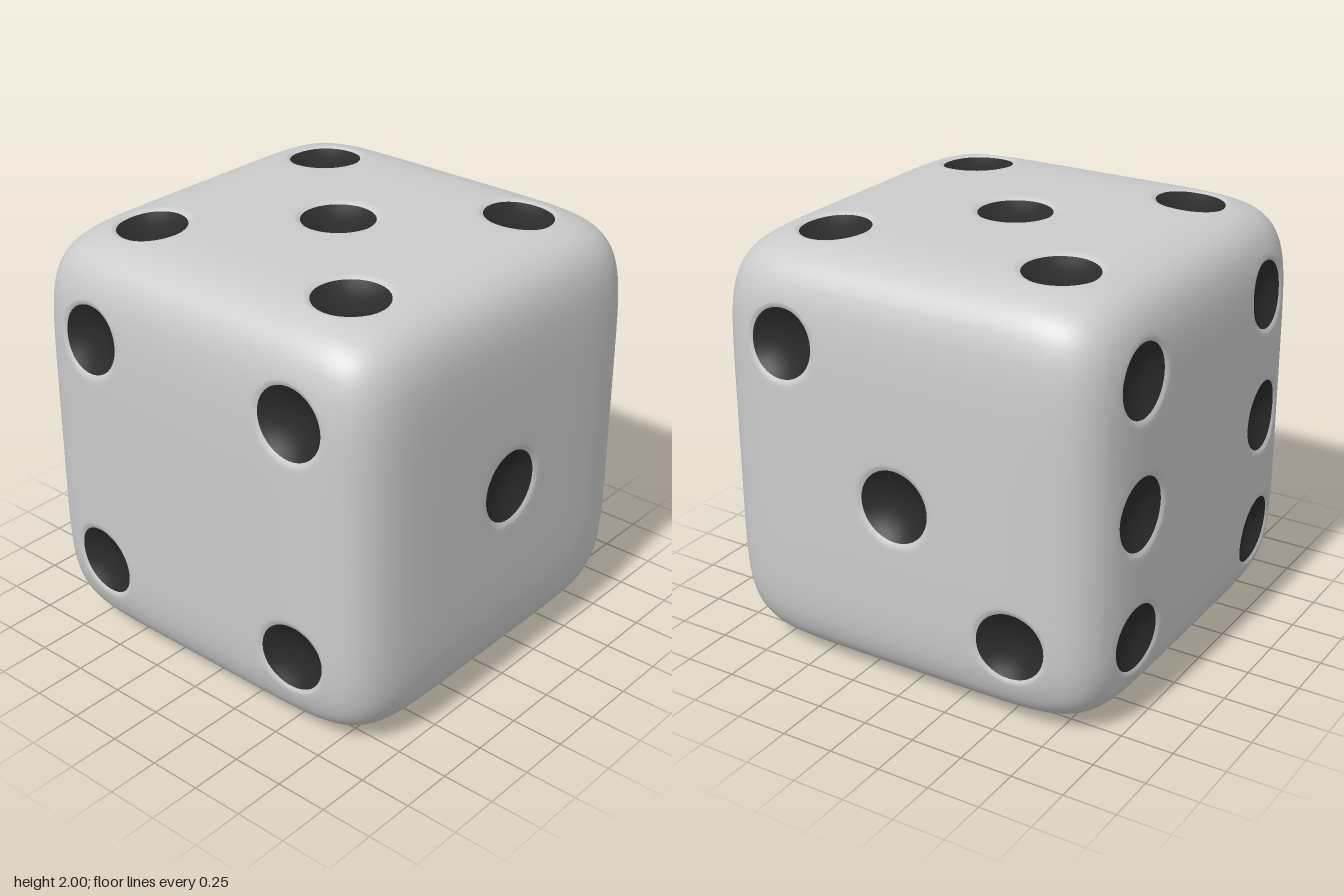
import * as THREE from 'three';
import { mergeVertices } from 'three/addons/utils/BufferGeometryUtils.js';

const POWER = 7;      // squareness of the rounded cube
const SLOT = 0.58;    // pip spacing on a face
const R = 0.17;       // pip radius
const LIP = 0.2;      // outer radius of the soft lip
const REACH = 0.29;   // half size of the grid block around a pip
const DEPTH = 0.07;

// Each face: axes u, v (normal = u x v) and its pip centres
const FACES = [
  { name: 'front', u: [1, 0, 0], v: [0, 1, 0], pips: [[0, 0]] },
  { name: 'back', u: [-1, 0, 0], v: [0, 1, 0],
    pips: [[-0.6, 0.61], [-0.6, 0], [-0.6, -0.61], [0.6, 0.61], [0.6, 0], [0.6, -0.61]] },
  { name: 'right', u: [0, 0, -1], v: [0, 1, 0],
    pips: [[-0.585, 0.575], [0, -0.06], [0.58, -0.585]] },
  { name: 'left', u: [0, 0, 1], v: [0, 1, 0],
    pips: [[-0.59, 0.575], [0.59, 0.575], [-0.59, -0.58], [0.59, -0.58]] },
  { name: 'top', u: [1, 0, 0], v: [0, 0, -1],
    pips: [[-0.585, 0.59], [0.555, 0.565], [0, 0], [-0.585, -0.575], [0.58, -0.575]] },
  { name: 'bottom', u: [1, 0, 0], v: [0, 0, 1], pips: [[0.58, 0.58], [-0.58, -0.58]] },
];

// Grid lines shared by all faces, dense across the pips and the rounded edges
function gridLines() {
  const lines = [];
  const span = (a, b, n) => {
    for (let i = 0; i < n; i++) lines.push(a + (b - a) * i / n);
  };
  span(-1, -SLOT - REACH, 7);
  for (const c of [-SLOT, 0, SLOT]) {
    span(c - REACH, c - LIP, 3);
    span(c - LIP, c - R, 2);
    span(c - R, c + R, 12);
    span(c + R, c + LIP, 2);
    span(c + LIP, c + REACH, 3);
  }
  span(SLOT + REACH, 1, 7);
  lines.push(1);
  return lines;
}

const slotOf = (c) => Math.round(c / SLOT) * SLOT;
const squareDistance = (pip, a, b) =>
  Math.max(Math.abs(a - slotOf(pip[0])), Math.abs(b - slotOf(pip[1])));

// Place a face grid point: square rings around a pip become circles, then the cube is rounded
function surfacePoint(face, u, v, n, a, b) {
  let sink = 0;
  const pip = face.pips.find((p) => squareDistance(p, a, b) < REACH - 1e-6);
  if (pip) {
    const du = a - slotOf(pip[0]), dv = b - slotOf(pip[1]);
    const m = squareDistance(pip, a, b);
    const blend = THREE.MathUtils.clamp((REACH - m) / (REACH - LIP), 0, 1);
    const scale = 1 + blend * (m / (Math.hypot(du, dv) || 1) - 1);
    a = slotOf(pip[0]) + du * scale + blend * (pip[0] - slotOf(pip[0]));
    b = slotOf(pip[1]) + dv * scale + blend * (pip[1] - slotOf(pip[1]));
    const lipDrop = 0.012;
    if (m <= R) sink = lipDrop + (DEPTH - lipDrop) * (1 - (m / R) ** 2);
    else if (m < LIP) sink = lipDrop * ((LIP - m) / (LIP - R)) ** 2;
  }
  const norm = (Math.abs(a) ** POWER + Math.abs(b) ** POWER + 1) ** (1 / POWER);
  return new THREE.Vector3()
    .addScaledVector(u, a / norm)
    .addScaledVector(v, b / norm)
    .addScaledVector(n, 1 / norm - sink);
}

function smoothGeometry(points) {
  const geometry = mergeVertices(new THREE.BufferGeometry().setFromPoints(points), 1e-5);
  geometry.computeVertexNormals();
  return geometry;
}

export function createModel() {
  const model = new THREE.Group();
  model.name = 'die';
  const grey = new THREE.MeshStandardMaterial({ color: 0xcccccc });
  const dark = new THREE.MeshStandardMaterial({ color: 0x2a2a2a });
  const white = new THREE.MeshStandardMaterial({ color: 0xffffff });

  const lines = gridLines();
  const bodyPoints = [];

  for (const face of FACES) {
    const u = new THREE.Vector3(...face.u), v = new THREE.Vector3(...face.v);
    const n = u.clone().cross(v);
    const grid = lines.map((b) => lines.map((a) => surfacePoint(face, u, v, n, a, b)));
    const pipPoints = face.pips.map(() => []);

    // Cells inside a pip go to its bowl, all others to the body
    for (let j = 0; j < lines.length - 1; j++) {
      for (let i = 0; i < lines.length - 1; i++) {
        const ca = (lines[i] + lines[i + 1]) / 2, cb = (lines[j] + lines[j + 1]) / 2;
        const k = face.pips.findIndex((p) => squareDistance(p, ca, cb) < R);
        const target = k < 0 ? bodyPoints : pipPoints[k];
        const p = grid[j][i], q = grid[j][i + 1], r = grid[j + 1][i + 1], s = grid[j + 1][i];
        // Diagonals point towards the pip centre or face centre
        const c = k < 0 ? [0, 0] : face.pips[k].map(slotOf);
        if ((ca - c[0]) * (cb - c[1]) >= 0) target.push(p, q, r, p, r, s);
        else target.push(p, q, s, q, r, s);
      }
    }

    // Sunken pips
    const pips = new THREE.Group();
    pips.name = face.name + 'Pips';
    pipPoints.forEach((points, k) => {
      const pip = new THREE.Mesh(smoothGeometry(points), face.name === 'bottom' ? white : dark);
      pip.name = face.name + 'Pip' + (k + 1);
      pips.add(pip);
    });
    pips.position.y = 1;
    model.add(pips);
  }

  // Rounded cube body
  const body = new THREE.Mesh(smoothGeometry(bodyPoints), grey);
  body.name = 'body';
  body.position.y = 1;
  model.add(body);
  return model;
}
